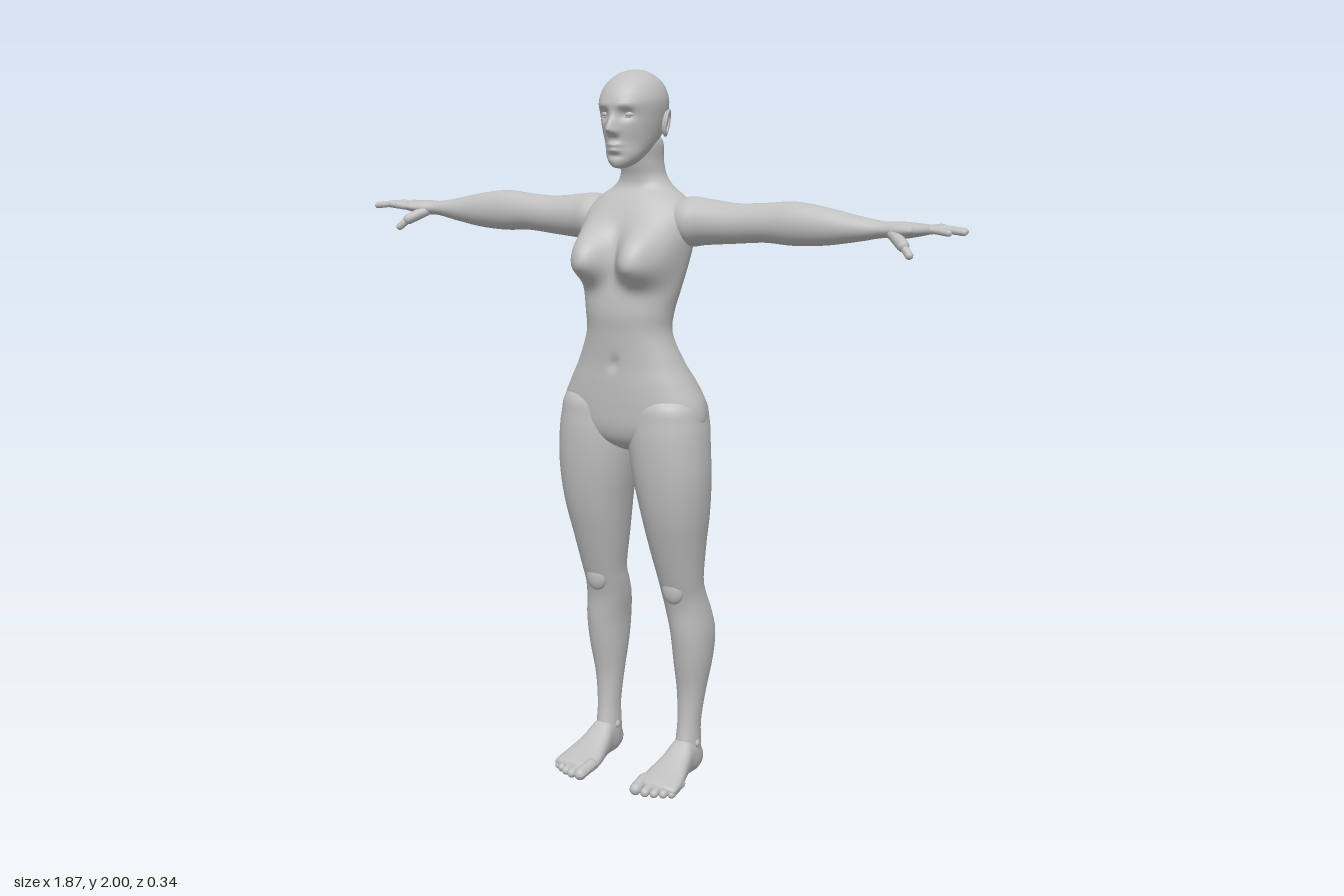
import * as THREE from 'three';

const skin = new THREE.MeshStandardMaterial({ color: 0xc0c0c0 });
skin.name = 'plain grey';

const gauss = (d, s) => Math.exp(-(d * d) / (s * s));
const cubic = (p, q, r, s, f) =>
  q + 0.5 * f * (r - p + f * (2 * p - 5 * q + 4 * r - s + f * (3 * (q - r) + s - p)));

// Smooth loft. Each row is [position along axis, a min, a max, b min, b max];
// (a, b) is (y, z) for axis x, (z, x) for axis y and (x, y) for axis z.
function loft(axis, rows, { around = 40, sub = 5, power = 2, rule } = {}) {
  const pos = [], index = [], last = rows.length - 1;
  const at = i => rows[Math.max(0, Math.min(last, i))];
  const rings = last * sub;
  for (let i = 0; i <= rings; i++) {
    const k = Math.min(last - 1, Math.floor(i / sub)), f = i / sub - k;
    const [t, a0, a1, b0, b1] = rows[0].map((_, c) =>
      cubic(at(k - 1)[c], at(k)[c], at(k + 1)[c], at(k + 2)[c], f));
    for (let j = 0; j < around; j++) {
      const u = (j / around) * Math.PI * 2, c = Math.cos(u), s = Math.sin(u);
      const a = (a0 + a1) / 2 + (a1 - a0) / 2 * Math.sign(c) * Math.abs(c) ** (2 / power);
      const b = (b0 + b1) / 2 + (b1 - b0) / 2 * Math.sign(s) * Math.abs(s) ** (2 / power);
      const p = axis === 'x' ? new THREE.Vector3(t, a, b)
        : axis === 'y' ? new THREE.Vector3(b, t, a) : new THREE.Vector3(a, b, t);
      if (rule) rule(p, axis === 'y' ? c : 0);
      pos.push(p.x, p.y, p.z);
      if (i < rings) {
        const n = (j + 1) % around, o = i * around, q = o + around;
        index.push(o + j, o + n, q + n, o + j, q + n, q + j);
      }
    }
  }
  const g = new THREE.BufferGeometry();
  g.setAttribute('position', new THREE.Float32BufferAttribute(pos, 3));
  g.setIndex(index);
  g.computeVertexNormals();
  return g;
}

// Rounded rod between two points
function rod(from, to, radius) {
  const a = new THREE.Vector3(...from), b = new THREE.Vector3(...to), d = b.clone().sub(a);
  const g = new THREE.CapsuleGeometry(radius, d.length(), 6, 12);
  g.applyQuaternion(new THREE.Quaternion().setFromUnitVectors(new THREE.Vector3(0, 1, 0), d.normalize()));
  return g.translate(...a.add(b).multiplyScalar(0.5).toArray());
}

function ball(x, y, z, rx, ry, rz) {
  return new THREE.SphereGeometry(1, 24, 16).scale(rx, ry, rz).translate(x, y, z);
}

function mirrored(geometry) {
  const g = geometry.clone().scale(-1, 1, 1), ix = g.index.array;
  for (let i = 0; i < ix.length; i += 3) [ix[i], ix[i + 1]] = [ix[i + 1], ix[i]];
  g.computeVertexNormals();
  return g;
}

// Body relief: chest, seat, spine and navel (facing is +1 at the front, -1 at the back)
function bodyRelief(p, facing) {
  const x = Math.abs(p.x), y = p.y;
  const front = THREE.MathUtils.smoothstep(facing, 0, 0.5);
  const back = THREE.MathUtils.smoothstep(-facing, 0, 0.5);
  const r = ((x - 0.085) / 0.066) ** 2 + ((y - 1.5) / (y > 1.5 ? 0.085 : 0.058)) ** 2;
  p.z += front * 0.09 * Math.exp(-(r ** 1.3));
  p.z -= front * 0.012 * gauss(p.x, 0.012) * gauss(y - 1.22, 0.016);
  p.z -= back * 0.072 * gauss(x - 0.1, 0.075) * gauss(y - 1.06, y > 1.06 ? 0.1 : 0.065);
  p.z += back * 0.014 * gauss(p.x, 0.022) * gauss(y - 1.38, 0.2);
  p.z += back * 0.02 * gauss(p.x, 0.018) * gauss(y - 1.06, 0.07);
}

// Face relief: brow, eye sockets, nose, lips and chin
function faceRelief(p, facing) {
  const x = Math.abs(p.x), y = p.y;
  const front = THREE.MathUtils.smoothstep(facing, 0.1, 0.6);
  p.z += front * (
    0.03 * gauss(x, 0.013) * gauss(y - 1.845, y > 1.845 ? 0.03 : 0.012)
    + 0.008 * gauss(x - 0.012, 0.008) * gauss(y - 1.839, 0.01)
    - 0.014 * gauss(x - 0.034, 0.018) * gauss(y - 1.884, 0.014)
    + 0.005 * gauss(x - 0.034, 0.025) * gauss(y - 1.908, 0.009)
    + 0.009 * gauss(x, 0.02) * gauss(y - 1.805, 0.007)
    + 0.009 * gauss(x, 0.017) * gauss(y - 1.791, 0.007)
    - 0.005 * gauss(x, 0.025) * gauss(y - 1.776, 0.008)
    - 0.004 * gauss(x - 0.042, 0.02) * gauss(y - 1.81, 0.025));
}

export function createModel() {
  const model = new THREE.Group();
  const add = (name, geometry) => {
    const m = new THREE.Mesh(geometry, skin);
    m.name = name;
    model.add(m);
  };
  const pair = (name, geometry) => {
    add('left ' + name, geometry);
    add('right ' + name, mirrored(geometry));
  };
  const sym = rows => rows.map(([y, z0, z1, w]) => [y, z0, z1, -w, w]);

  // Torso and neck: y, back z, front z, half width
  add('torso', loft('y', sym([
    [0.965, -0.02, 0.02, 0.001], [0.975, -0.05, 0.05, 0.04], [1.0, -0.085, 0.085, 0.13],
    [1.04, -0.105, 0.102, 0.21], [1.1, -0.11, 0.107, 0.217], [1.16, -0.1, 0.108, 0.19],
    [1.22, -0.08, 0.107, 0.157], [1.3, -0.065, 0.112, 0.125], [1.36, -0.075, 0.117, 0.128],
    [1.42, -0.095, 0.11, 0.14], [1.5, -0.118, 0.09, 0.155], [1.57, -0.132, 0.078, 0.165],
    [1.62, -0.133, 0.06, 0.16], [1.66, -0.127, 0.035, 0.13], [1.69, -0.115, 0.01, 0.087],
    [1.72, -0.107, 0.008, 0.064], [1.76, -0.1, 0.02, 0.058], [1.82, -0.09, 0.03, 0.056],
    [1.84, -0.03, -0.02, 0.001],
  ]), { around: 96, sub: 6, power: 2.15, rule: bodyRelief }));

  // Head and face
  add('head', loft('y', sym([
    [1.742, 0.06, 0.07, 0.001], [1.746, 0.04, 0.091, 0.018], [1.757, 0.01, 0.099, 0.034],
    [1.775, -0.02, 0.102, 0.048], [1.8, -0.06, 0.102, 0.06], [1.83, -0.09, 0.104, 0.07],
    [1.87, -0.107, 0.107, 0.08], [1.92, -0.112, 0.11, 0.086], [1.96, -0.095, 0.087, 0.073],
    [1.985, -0.065, 0.053, 0.048], [1.997, -0.035, 0.02, 0.022], [2.0, -0.008, -0.007, 0.001],
  ]), { around: 128, sub: 9, rule: faceRelief }));
  pair('eye', ball(0.034, 1.884, 0.078, 0.016, 0.009, 0.013));
  for (const [name, y, bend] of [['upper eyelid', 1.885, 0.009], ['lower eyelid', 1.883, -0.007]]) {
    const lid = new THREE.QuadraticBezierCurve3(new THREE.Vector3(0.017, 1.882, 0.087),
      new THREE.Vector3(0.034, y + 2 * bend, 0.099), new THREE.Vector3(0.053, 1.885, 0.073));
    pair(name, new THREE.TubeGeometry(lid, 12, 0.002, 6));
  }

  // Ears: a thin shell with a raised rim
  const tilt = g => g.rotateX(-0.2).rotateZ(-0.12).rotateY(0.3).translate(0.086, 1.862, -0.018);
  pair('ear', tilt(ball(0, 0, 0, 0.007, 0.032, 0.018)));
  pair('ear rim', tilt(new THREE.TorusGeometry(0.016, 0.004, 8, 28).rotateY(Math.PI / 2)
    .scale(1, 1.9, 1.1).translate(0.006, 0, 0)));

  // Arm with palm: x, bottom y, top y, back z, front z
  pair('arm', loft('x', [
    [0.07, 1.6, 1.61, -0.05, -0.04], [0.09, 1.56, 1.65, -0.1, 0.0],
    [0.15, 1.535, 1.667, -0.118, 0.025], [0.2, 1.54, 1.664, -0.112, 0.018],
    [0.29, 1.548, 1.655, -0.097, 0.008], [0.38, 1.555, 1.659, -0.095, 0.004],
    [0.46, 1.551, 1.665, -0.098, 0.004], [0.55, 1.556, 1.654, -0.092, -0.001],
    [0.64, 1.57, 1.636, -0.086, -0.01], [0.71, 1.583, 1.625, -0.08, -0.018],
    [0.76, 1.583, 1.626, -0.092, -0.006], [0.81, 1.592, 1.623, -0.099, 0.002],
    [0.835, 1.599, 1.619, -0.095, -0.004], [0.842, 1.609, 1.61, -0.05, -0.049],
  ], { around: 40 }));

  // Fingers: base z, tip x, tip z
  [[-0.007, 0.902, 0.009], [-0.034, 0.927, -0.028], [-0.061, 0.918, -0.062], [-0.086, 0.88, -0.096]]
    .forEach(([z, tx, tz], i) => {
      const mid = [(0.81 + tx) / 2, 1.613, (z + tz) / 2], r = i === 3 ? 0.009 : 0.0105;
      pair('finger base ' + (i + 1), rod([0.81, 1.608, z], mid, r));
      pair('finger tip ' + (i + 1), rod(mid, [tx, 1.608, tz], r * 0.82));
    });
  pair('thumb base', rod([0.745, 1.596, -0.025], [0.785, 1.572, 0.008], 0.016));
  pair('thumb tip', rod([0.785, 1.572, 0.008], [0.808, 1.55, 0.022], 0.0105));

  // Leg: y, back z, front z, inner x, outer x
  pair('leg', loft('y', [
    [0.03, -0.09, -0.06, 0.125, 0.15], [0.05, -0.12, -0.03, 0.105, 0.17],
    [0.1, -0.122, -0.034, 0.104, 0.17], [0.16, -0.12, -0.043, 0.106, 0.17],
    [0.25, -0.134, -0.044, 0.1, 0.18], [0.35, -0.157, -0.027, 0.09, 0.196],
    [0.43, -0.165, -0.015, 0.084, 0.201], [0.5, -0.147, -0.008, 0.073, 0.195],
    [0.55, -0.125, 0.004, 0.068, 0.19], [0.6, -0.108, 0.022, 0.065, 0.192],
    [0.7, -0.11, 0.055, 0.048, 0.205], [0.8, -0.112, 0.084, 0.032, 0.221],
    [0.9, -0.108, 0.101, 0.014, 0.23], [0.99, -0.105, 0.107, 0.003, 0.228],
    [1.06, -0.1, 0.104, 0.004, 0.22], [1.12, -0.085, 0.09, 0.02, 0.2], [1.17, 0, 0.01, 0.1, 0.11],
  ], { around: 64, power: 2.15, rule: bodyRelief }));
  pair('kneecap', ball(0.128, 0.575, -0.002, 0.034, 0.045, 0.02));
  pair('ankle bones', ball(0.137, 0.095, -0.075, 0.039, 0.022, 0.02));

  // Foot: z, inner x, outer x, bottom y, top y
  pair('foot', loft('z', [
    [-0.132, 0.135, 0.14, 0.035, 0.04], [-0.122, 0.115, 0.162, 0.015, 0.07],
    [-0.09, 0.105, 0.172, 0.003, 0.1], [-0.045, 0.1, 0.175, 0.004, 0.112],
    [0.0, 0.091, 0.184, 0.006, 0.084], [0.05, 0.08, 0.198, 0.003, 0.06],
    [0.09, 0.076, 0.204, 0.002, 0.046], [0.115, 0.082, 0.198, 0.006, 0.036],
    [0.123, 0.135, 0.14, 0.02, 0.021],
  ], { around: 36, power: 2.4 }));

  // Toes: x, tip z, radius
  [[0.094, 0.16, 0.0175], [0.124, 0.155, 0.0135], [0.149, 0.146, 0.0125], [0.172, 0.134, 0.012], [0.192, 0.12, 0.011]]
    .forEach(([x, z, r], i) =>
      pair('toe ' + (i + 1), rod([x - 0.002, r + 0.012, z - 0.07], [x, r + 0.002, z - r], r)));

  return model;
}
